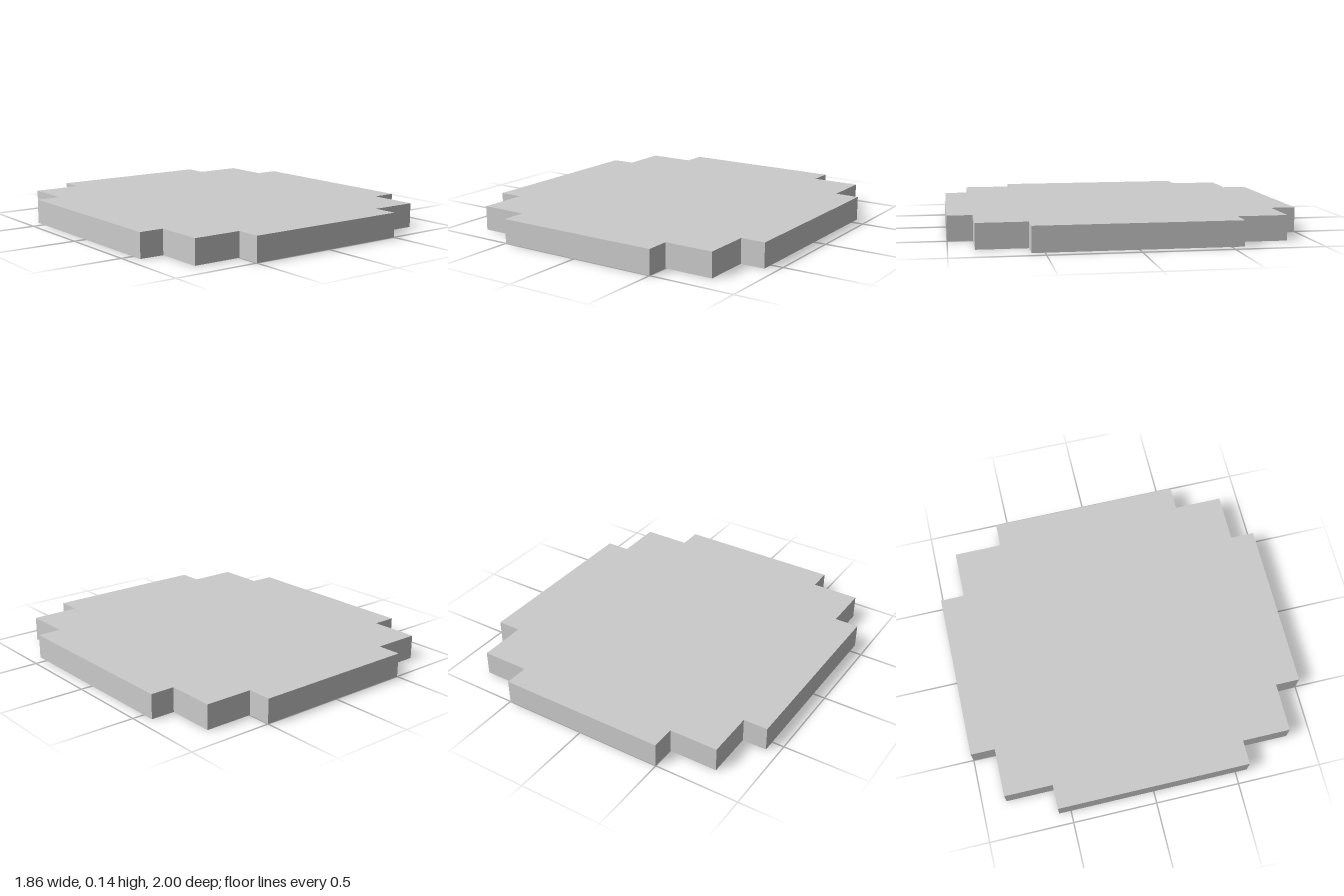
import * as THREE from 'three';

const UNIT = 1 / 14; // the outline steps on a regular grid
const THICKNESS = 2 * UNIT;

// Stepped corner of one quadrant, in grid units
const CORNER = [[13, 8], [11, 8], [11, 12], [7, 12], [7, 14]];

// Mirror the corner into all four quadrants, counter-clockwise
function steppedOutline() {
  const mirrored = (sx, sy) => {
    const pts = CORNER.map(([x, y]) => new THREE.Vector2(x * sx * UNIT, y * sy * UNIT));
    return sx * sy < 0 ? pts.reverse() : pts;
  };
  return new THREE.Shape([
    ...mirrored(1, 1), ...mirrored(-1, 1), ...mirrored(-1, -1), ...mirrored(1, -1),
  ]);
}

export function createModel() {
  const group = new THREE.Group();
  group.name = 'steppedPlate';

  // Flat plate, extruded upward from the ground
  const geometry = new THREE.ExtrudeGeometry(steppedOutline(), { depth: THICKNESS, bevelEnabled: false });
  geometry.rotateX(-Math.PI / 2);
  const plate = new THREE.Mesh(
    geometry,
    new THREE.MeshStandardMaterial({ color: 0xcccccc, flatShading: true }),
  );
  plate.name = 'plate';
  group.add(plate);

  return group;
}
